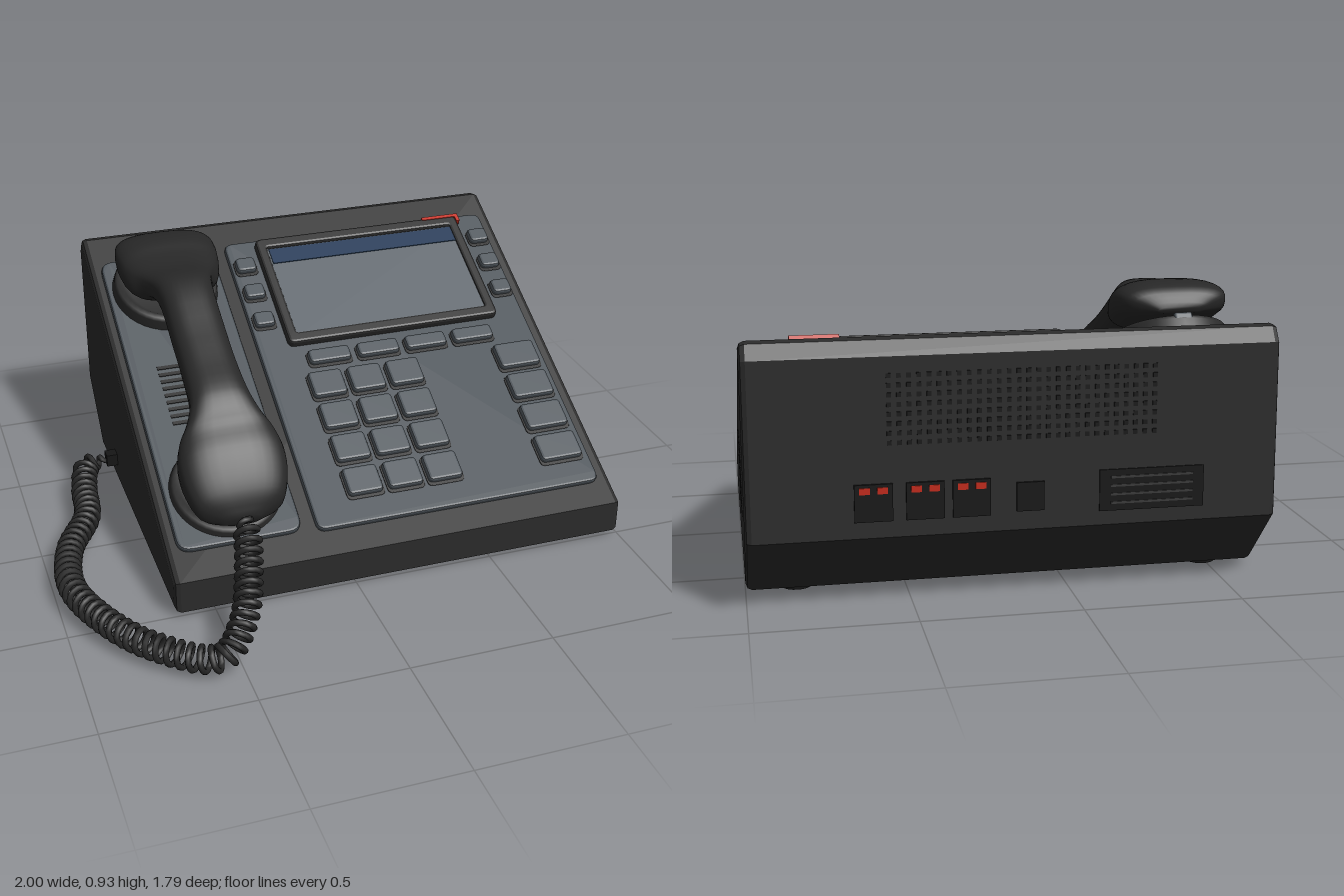
import * as THREE from 'three';
import { mergeGeometries } from 'three/addons/utils/BufferGeometryUtils.js';

const mat = (name, color) => {
  const m = new THREE.MeshStandardMaterial({ color });
  m.name = name;
  return m;
};

export function createModel() {
  const M = {
    body: mat('charcoal body', 0x2b2b2b),
    handset: mat('dark handset', 0x272727),
    panel: mat('slate panel', 0x474e54),
    key: mat('key grey', 0x4d545a),
    screen: mat('screen grey', 0x5c636a),
    blue: mat('header blue', 0x0e2f50),
    red: mat('indicator red', 0xc42a1a),
    black: mat('black openings', 0x161616),
    label: mat('label grey', 0x3a3a3a),
  };
  const root = new THREE.Group();
  root.name = 'deskPhone';
  const add = (parent, name, geo, material, x = 0, y = 0, z = 0) => {
    const mesh = new THREE.Mesh(geo, material);
    mesh.name = name;
    mesh.position.set(x, y, z);
    parent.add(mesh);
    return mesh;
  };
  const box = (w, h, d, x = 0, y = 0, z = 0) => new THREE.BoxGeometry(w, h, d).translate(x, y, z);

  // Wedge body: side profile extruded across x with a bevelled rim
  const profile = [[0.51, 0.02], [0.51, 0.135], [-0.83, 0.83], [-0.86, 0.825], [-0.89, 0.78], [-0.89, 0.23], [-0.68, 0.02]];
  const b = 0.02;
  const bodyGeo = new THREE.ExtrudeGeometry(
    new THREE.Shape(profile.map(([z, y]) => new THREE.Vector2(-z, y))),
    { depth: 1.64 - 2 * b, bevelSize: b, bevelThickness: b, bevelOffset: -b, bevelSegments: 2 });
  add(root, 'body', bodyGeo.rotateY(Math.PI / 2), M.body, -0.64 + b);
  for (const x of [-0.49, 0.84]) for (const z of [0.4, -0.6])
    add(root, 'foot', new THREE.CylinderGeometry(0.052, 0.048, 0.03, 20), M.black, x, 0.015, z);

  // Sloped face: local y is its normal, local z runs down the slope
  const tilt = Math.atan2(0.695, 1.34), c = Math.cos(tilt), s = Math.sin(tilt);
  const face = new THREE.Group();
  face.name = 'slopedFace';
  face.position.y = 0.4;
  face.rotation.x = tilt;
  root.add(face);

  const rounded = (ShapeType, w, d, r) => {
    const p = new ShapeType(), x = w / 2, y = d / 2;
    p.moveTo(-x + r, -y).lineTo(x - r, -y).quadraticCurveTo(x, -y, x, -y + r);
    p.lineTo(x, y - r).quadraticCurveTo(x, y, x - r, y);
    p.lineTo(-x + r, y).quadraticCurveTo(-x, y, -x, y - r);
    p.lineTo(-x, -y + r).quadraticCurveTo(-x, -y, -x + r, -y);
    return p;
  };
  // Rounded slab with a bevelled rim and optional window, standing on y = 0
  const slab = (w, d, h, r, bevel, hole) => {
    const shape = rounded(THREE.Shape, w, d, r);
    if (hole) shape.holes.push(rounded(THREE.Path, hole[0], hole[1], 0.008));
    return new THREE.ExtrudeGeometry(shape, {
      depth: h - bevel, bevelSize: bevel, bevelThickness: bevel, bevelOffset: -bevel, bevelSegments: 2, curveSegments: 5,
    }).rotateX(-Math.PI / 2);
  };
  // Places a part on the face by plan position (x, z) and lift off the slope
  const onFace = (name, geo, material, x, z, lift, top = lift) =>
    add(face, name, geo, material, x, lift, (z - top * s) / c);

  onFace('keyPanel', slab(1.065, 1.15 / c, 0.02, 0.035, 0.008), M.panel, 0.4175, -0.14, 0, 0.02);
  onFace('cradlePanel', slab(0.435, 1.125 / c, 0.02, 0.05, 0.008), M.panel, -0.3825, -0.14, 0, 0.02);

  // Display
  onFace('screenBezel', slab(0.835, 0.45 / c, 0.05, 0.025, 0.01, [0.755, 0.37 / c]), M.body, 0.4175, -0.46, 0, 0.05);
  onFace('screen', box(0.77, 0.006, 0.38 / c), M.screen, 0.42, -0.455, 0.04);
  onFace('screenHeader', box(0.752, 0.004, 0.062 / c), M.blue, 0.42, -0.607, 0.0445);
  onFace('indicatorLight', mergeGeometries([box(0.15, 0.022, 0.014), box(0.014, 0.022, 0.035, 0.07, 0, 0.012)]),
    M.red, 0.768, -0.685, 0.042);

  // Keys
  const key = (name, x, z, w, d) => onFace(name, slab(w, d / c, 0.026, 0.018, 0.009), M.key, x, z, 0.018, 0.04);
  const rim = (x, z, w, d) => onFace('keyRim', slab(w + 0.012, (d + 0.012) / c, 0.005, 0.02, 0.002), M.body, x, z, 0.018, 0.03);
  for (const z of [-0.07, 0.055, 0.18, 0.305]) {
    for (const x of [0.09, 0.24, 0.39]) { key('dialKey', x, z, 0.128, 0.096); rim(x, z, 0.128, 0.096); }
    key('functionKey', 0.842, z, 0.16, 0.096);
    rim(0.842, z, 0.16, 0.096);
  }
  for (const x of [0.135, 0.325, 0.515, 0.705]) { key('softKey', x, -0.18, 0.16, 0.052); rim(x, -0.18, 0.16, 0.052); }
  for (const z of [-0.595, -0.48, -0.36]) for (const x of [-0.06, 0.9]) {
    key('lineKey', x, z, 0.076, 0.056);
    rim(x, z, 0.076, 0.056);
  }

  // Cradle: two dished cups, speaker slots and the hook tab
  const hx = -0.385;
  const cup = (z, h) => {
    const pts = [[0.2, 0], [0.19, h - 0.012], [0.183, h], [0.165, h], [0.14, h - 0.02], [0, h - 0.025]];
    onFace('cradleCup', new THREE.LatheGeometry(pts.map(p => new THREE.Vector2(...p)), 40), M.body, hx, z, 0, h);
  };
  cup(0.25, 0.05);
  cup(-0.535, 0.07);
  for (let i = 0; i < 9; i++)
    onFace('speakerSlot', box(0.23, 0.006, 0.014), M.black, hx, -0.24 + i * 0.027, 0.02);
  onFace('hookTab', slab(0.06, 0.05, 0.08, 0.01, 0.008), M.panel, hx, -0.675, 0, 0.08);

  // Handset: lofted from [top z, top y, bottom z, bottom y, half width]
  const sections = [
    [0.475, 0.33, 0.458, 0.287, 0.06], [0.455, 0.40, 0.42, 0.285, 0.145], [0.42, 0.46, 0.35, 0.325, 0.176],
    [0.36, 0.535, 0.28, 0.375, 0.183], [0.30, 0.585, 0.245, 0.42, 0.165], [0.265, 0.63, 0.225, 0.475, 0.132],
    [0.215, 0.675, 0.185, 0.54, 0.106], [0.10, 0.73, 0.05, 0.607, 0.096], [-0.02, 0.79, -0.08, 0.672, 0.095],
    [-0.225, 0.893, -0.265, 0.765, 0.1], [-0.35, 0.893, -0.335, 0.772, 0.13], [-0.43, 0.908, -0.375, 0.748, 0.165],
    [-0.50, 0.93, -0.43, 0.748, 0.183], [-0.57, 0.932, -0.52, 0.785, 0.185], [-0.625, 0.912, -0.60, 0.817, 0.16],
    [-0.658, 0.86, -0.65, 0.838, 0.07],
  ];
  const upper = new THREE.CatmullRomCurve3(sections.map(k => new THREE.Vector3(k[4], k[1], k[0])));
  const lower = new THREE.CatmullRomCurve3(sections.map(k => new THREE.Vector3(k[4], k[3], k[2])));
  const rows = 60, ring = 32, pos = [], idx = [];
  const squash = v => Math.sign(v) * Math.abs(v) ** 0.72;
  for (let i = 0; i <= rows; i++) {
    const t = upper.getPoint(i / rows), l = lower.getPoint(i / rows);
    for (let j = 0; j < ring; j++) {
      const a = j / ring * Math.PI * 2, u = (squash(Math.sin(a)) + 1) / 2;
      pos.push(t.x * squash(Math.cos(a)), l.y + (t.y - l.y) * u, l.z + (t.z - l.z) * u);
      const p = i * ring + j, q = i * ring + (j + 1) % ring;
      if (i < rows) idx.push(p, p + ring, q, q, p + ring, q + ring);
    }
  }
  for (let j = 1; j < ring - 1; j++) {
    const e = rows * ring;
    idx.push(0, j, j + 1, e, e + j + 1, e + j);
  }
  const hs = new THREE.BufferGeometry();
  hs.setAttribute('position', new THREE.Float32BufferAttribute(pos, 3));
  hs.setIndex(idx);
  hs.computeVertexNormals();
  add(root, 'handset', hs, M.handset, hx);

  // Coiled cord: a helix wound round a path from the side jack to the handset
  const path = new THREE.CatmullRomCurve3([
    [-0.67, 0.12, -0.4], [-0.75, 0.10, -0.40], [-0.785, 0.07, -0.30], [-0.81, 0.06, -0.12], [-0.91, 0.06, 0.08],
    [-0.945, 0.06, 0.3], [-0.89, 0.06, 0.5], [-0.76, 0.06, 0.71], [-0.57, 0.065, 0.84], [-0.475, 0.13, 0.76],
    [-0.41, 0.24, 0.6], [-0.385, 0.315, 0.49], [-0.385, 0.33, 0.45],
  ].map(p => new THREE.Vector3(...p)));
  const turns = 56, n = turns * 14, frames = path.computeFrenetFrames(n);
  const coil = [];
  for (let i = 0; i <= n; i++) {
    const u = i / n, a = u * turns * Math.PI * 2;
    const r = 0.039 * Math.min(1, u * 25, (1 - u) * 25);
    coil.push(path.getPointAt(u)
      .addScaledVector(frames.normals[i], r * Math.cos(a)).addScaledVector(frames.binormals[i], r * Math.sin(a)));
  }
  const wire = new THREE.CatmullRomCurve3(coil);
  wire.arcLengthDivisions = n * 2;
  add(root, 'coiledCord', new THREE.TubeGeometry(wire, n, 0.0105, 7), M.handset);
  add(root, 'cordPlug', box(0.05, 0.045, 0.045), M.black, -0.655, 0.12, -0.4);

  // Back: vent holes, sockets with red tabs, and a blank rating plate
  const back = -0.89, holes = [];
  for (let i = 0; i < 28; i++) for (let j = 0; j < 8; j++)
    holes.push(box(0.014, 0.014, 0.006, -0.24 + i * 0.03, 0.52 + j * 0.029, back));
  add(root, 'backVents', mergeGeometries(holes), M.black);
  for (const x of [0.325, 0.465, 0.62]) {
    add(root, 'socket', box(0.115, 0.115, 0.016), M.black, x, 0.34, back);
    for (const k of [-1, 1]) add(root, 'socketLight', box(0.032, 0.02, 0.006), M.red, x + k * 0.027, 0.378, back - 0.008);
  }
  add(root, 'powerSocket', box(0.085, 0.09, 0.016), M.black, 0.145, 0.335, back);
  add(root, 'ratingPlate', box(0.33, 0.13, 0.009), M.black, -0.235, 0.34, back);
  for (let i = 0; i < 4; i++)
    add(root, 'plateLine', box(0.26, 0.007, 0.004), M.label, -0.235, 0.3 + i * 0.027, back - 0.005);

  // Side vent slots
  const slots = [];
  for (let i = 0; i < 5; i++) for (let j = 0; j < 6; j++)
    slots.push(box(0.006, 0.012, 0.035, 1, 0.28 + j * 0.04, -0.72 + i * 0.055));
  add(root, 'sideVents', mergeGeometries(slots), M.black);

  return root;
}
